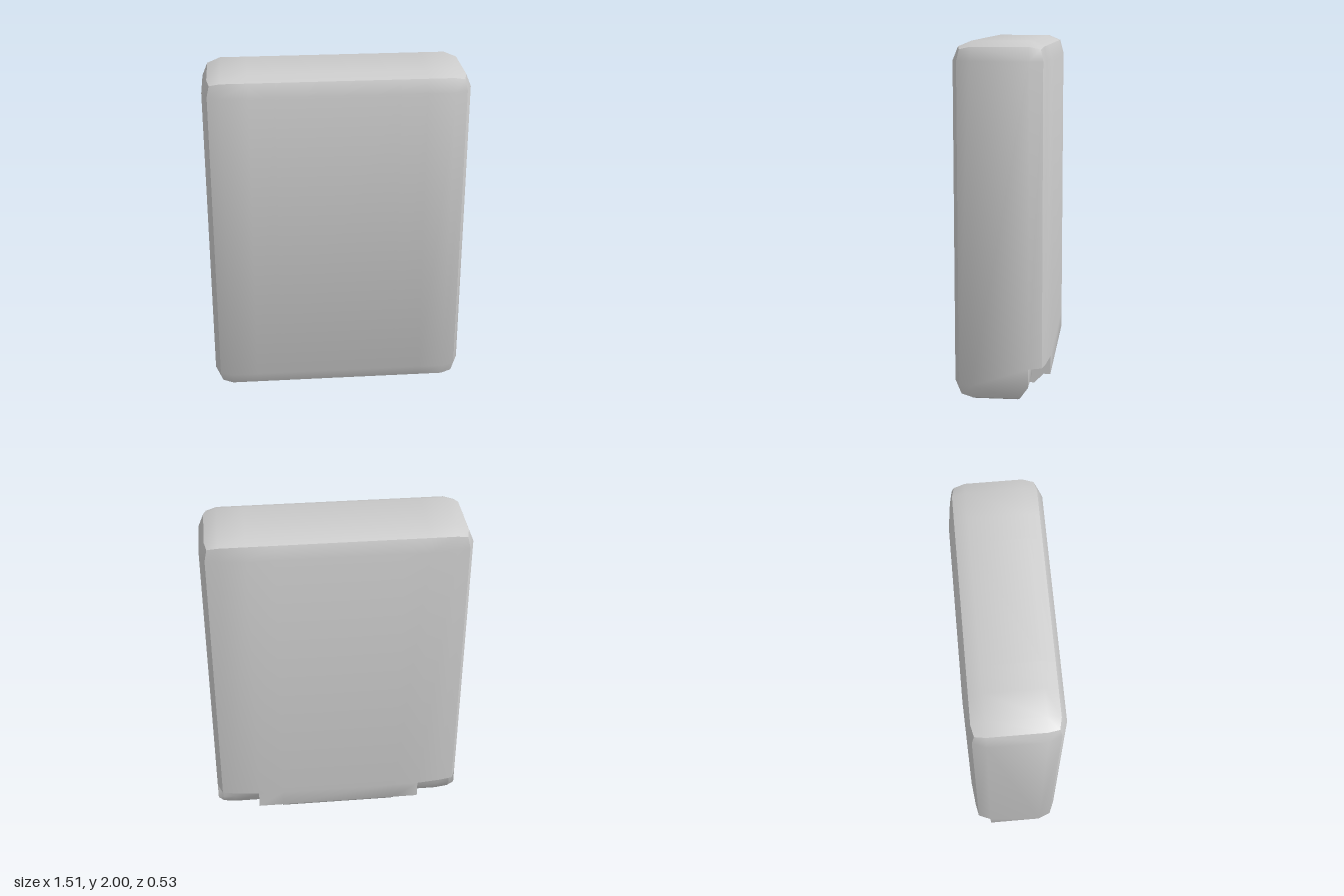
import * as THREE from 'three';
import { toCreasedNormals, mergeGeometries } from 'three/addons/utils/BufferGeometryUtils.js';

const X = 0.755, Y = 1, Z = 0.263;      // half sizes
const R = 0.105;                        // edge rounding
const K = R * Math.SQRT1_2, C = R / Math.sqrt(3);
const ix = X - R, iy = Y - R, iz = Z - R; // inner core
const FLOOR = -0.09;                    // z where the notch floor meets the base

// Rounding at three levels: full section, side edge, flat side.
// [x offset, x offset at corner, face offset, corner offset]
const LEVELS = [[0, 0, R, K], [K, C, K, C], [R, R, 0, 0]];

// One closed y-z section (13 points): front, top, back, notch steps, base.
function section(side, x, level, notch, backZ = Z) {
  const [dx, dc, f, m] = LEVELS[level];
  const px = level ? ix + dx : x;
  const cx = level ? ix + dc : x;
  const back = level ? -iz - f : -backZ;
  const base = -iy - f;
  const shelf = -iy + R;
  const floorZ = -iz + (f / R) * (FLOOR + iz);
  const steps = {
    deep: [[px, shelf, back], [px, shelf, -iz], [px, -iy, -iz], [px, base, floorZ]],
    low: [[px, shelf, back], [px, -iy, back], [px, -iy, -iz], [px, base, floorZ]],
    none: [[px, shelf, back], [px, -iy, back], [px, base, -iz], [px, base, floorZ]],
  }[notch];
  return [
    [cx, -iy - m, iz + m], [px, -iy, iz + f], [px, iy, iz + f], // front
    [cx, iy + m, iz + m], [px, iy + f, iz], [px, iy + f, -iz],  // top
    [cx, iy + m, -iz - m], [px, iy, back],                      // back
    ...steps,
    [px, base, iz],                                             // base
  ].map(([a, b, c]) => new THREE.Vector3(side * a, b + Y, c));
}

// A smooth patch made of triangles, with empty ones left out.
function patch(triangles) {
  const points = triangles.filter((t) => new THREE.Triangle(...t).getArea() > 1e-7).flat();
  const geometry = new THREE.BufferGeometry().setFromPoints(points);
  return toCreasedNormals(geometry, THREE.MathUtils.degToRad(50));
}

// Triangles between neighbouring sections, for points from..to.
function loft(sections, from, to) {
  const out = [];
  for (let i = 0; i < sections.length - 1; i++) {
    const a = sections[i], b = sections[i + 1];
    for (let j = from; j < to; j++) {
      const n = (j + 1) % a.length;
      out.push([a[j], b[j], b[n]], [a[j], b[n], a[n]]);
    }
  }
  return out;
}

export function createModel() {
  // Sections from the side inwards; doubled stations form the notch end walls
  const half = (s) => [
    section(s, X, 2, 'deep'),
    section(s, X, 1, 'deep'),
    section(s, ix, 0, 'deep', 0.247),
    section(s, 0.5, 0, 'deep'),
    section(s, 0.5, 0, 'low'),
    section(s, 0.35, 0, 'low'),
    section(s, 0.35, 0, 'none'),
  ];
  const rings = [...half(-1), ...half(1).reverse()];
  const last = rings.length - 1;
  const body = rings.slice(1, last);

  // Flat middle of each side plus its rounded border
  const cap = (ring, flip) => ring.slice(1, -1).map((p, j) =>
    flip ? [ring[0], ring[j + 2], p] : [ring[0], p, ring[j + 2]]);
  const rightSide = [...cap(rings[0], false), ...loft(rings.slice(0, 2), 0, 13)];
  const leftSide = [...cap(rings[last], true), ...loft(rings.slice(last - 1), 0, 13)];

  const geometry = mergeGeometries([
    patch(loft(body, 0, 3)),   // front
    patch(loft(body, 3, 6)),   // top
    patch(loft(body, 6, 13)),  // back and base, with the corner notches
    patch(rightSide),
    patch(leftSide),
  ]);

  const mesh = new THREE.Mesh(geometry, new THREE.MeshStandardMaterial({ color: 0xcccccc }));
  mesh.name = 'notchedCaseBody';
  const group = new THREE.Group();
  group.name = 'case';
  group.add(mesh);
  return group;
}
